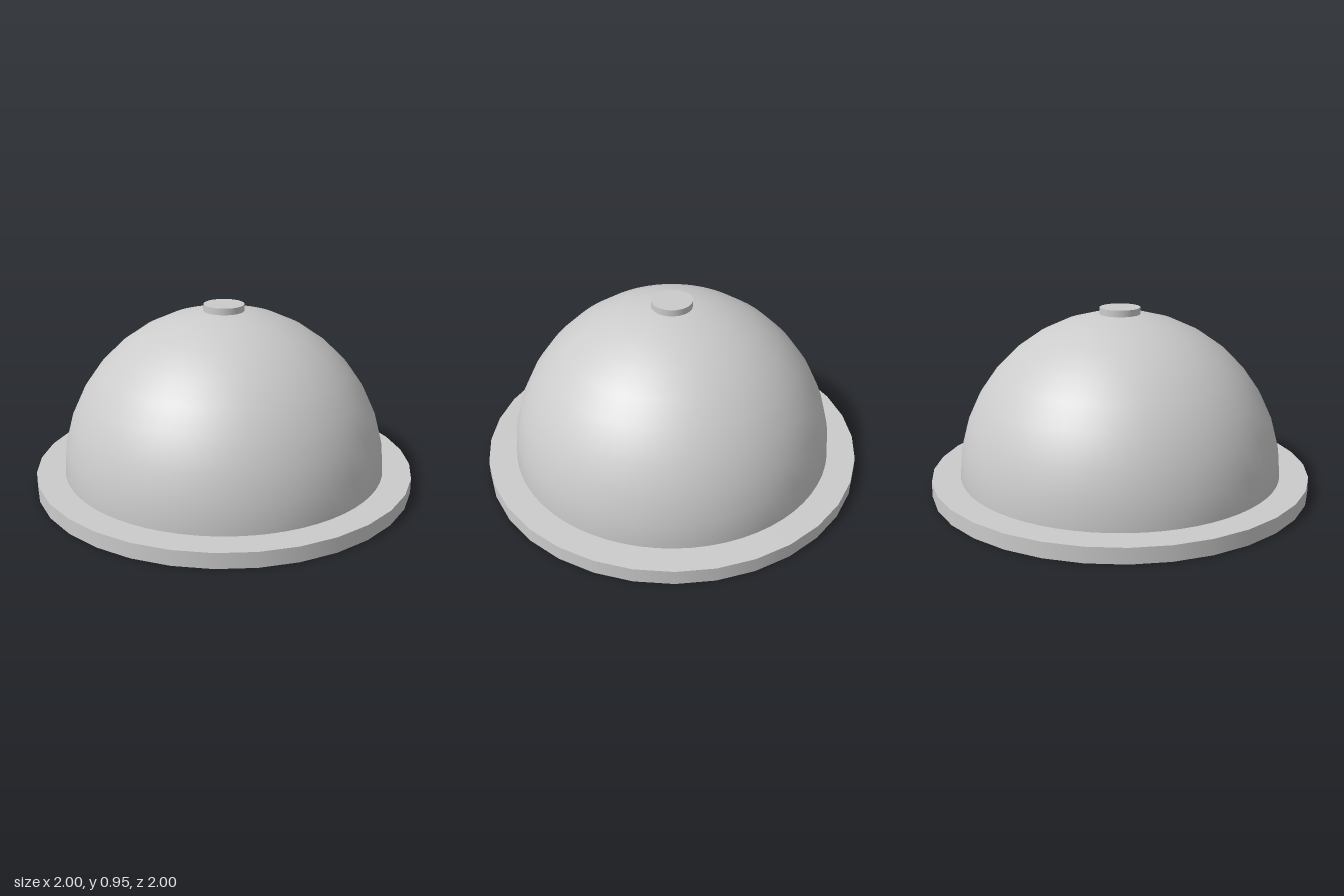
import * as THREE from 'three';

export function createModel() {
  const group = new THREE.Group();
  const material = new THREE.MeshStandardMaterial({ color: 0xcccccc });

  const add = (name, geometry, y) => {
    const mesh = new THREE.Mesh(geometry, material);
    mesh.name = name;
    mesh.position.y = y;
    group.add(mesh);
  };

  const baseHeight = 0.08;
  const domeRadius = 0.85;

  // Round base plate
  add('basePlate', new THREE.CylinderGeometry(1, 1, baseHeight, 32), baseHeight / 2);

  // Hemispherical dome standing on the plate
  add('dome', new THREE.SphereGeometry(domeRadius, 64, 9, 0, Math.PI * 2, 0, Math.PI / 2), baseHeight);

  // Small flat button at the crown, sunk slightly into the dome
  const buttonTop = 0.955, buttonHeight = 0.05;
  add('topButton', new THREE.CylinderGeometry(0.105, 0.105, buttonHeight, 48), buttonTop - buttonHeight / 2);

  return group;
}
